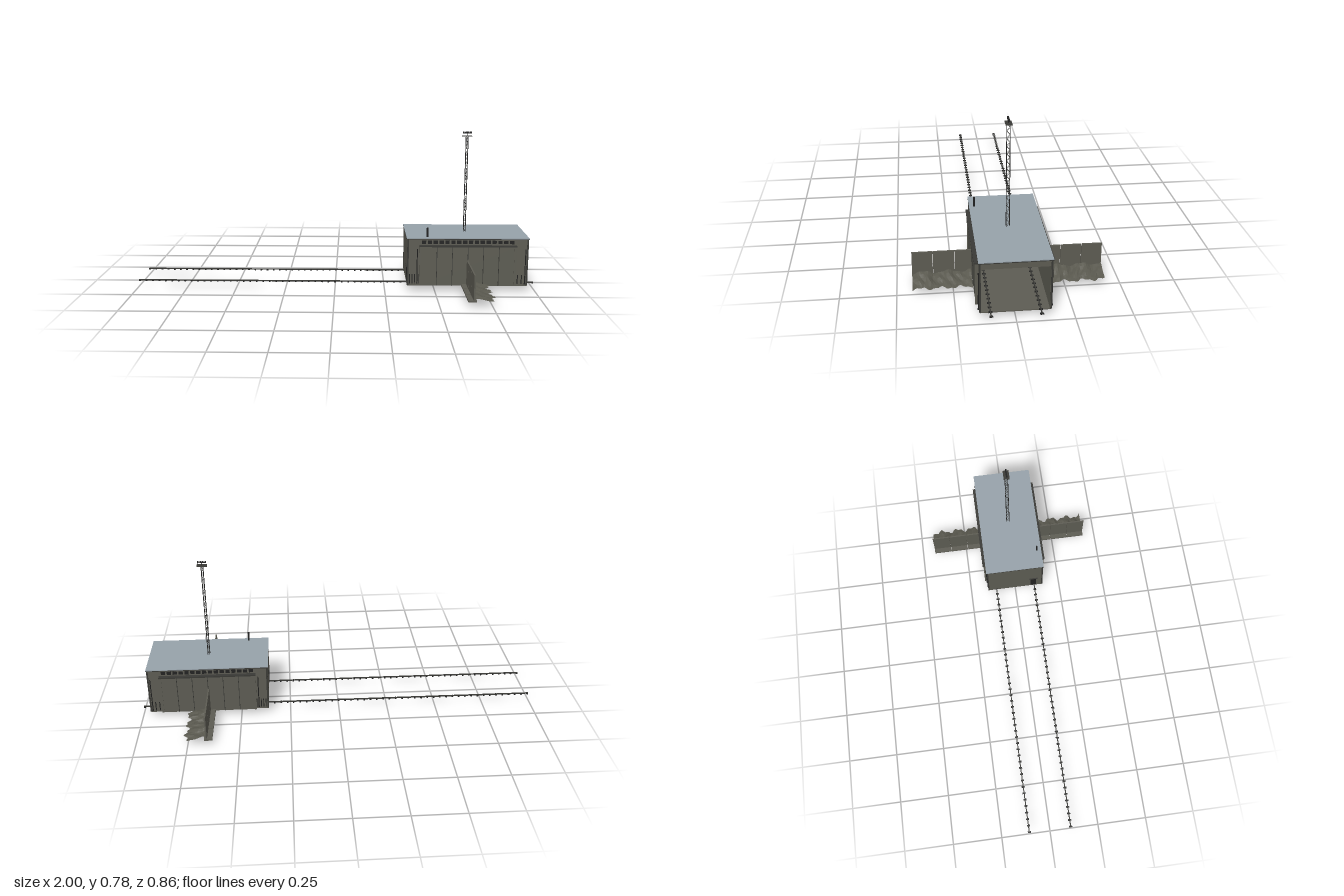
import * as THREE from 'three';

const mat = (name, color) => {
  const m = new THREE.MeshStandardMaterial({ color });
  m.name = name;
  return m;
};

export function createModel() {
  const concrete = mat('concrete', 0x5d5c53);
  const roofing = mat('roofing', 0x97a2aa);
  const darkMetal = mat('darkMetal', 0x3a3a36);
  const black = mat('black', 0x222222);
  const earth = mat('earth', 0x5a594f);
  earth.side = THREE.DoubleSide;

  const model = new THREE.Group();
  model.name = 'railDepot';
  const group = (name) => {
    const g = new THREE.Group();
    g.name = name;
    model.add(g);
    return g;
  };
  // Box given by its lower and upper limits on each axis
  const box = (parent, name, m, x0, x1, y0, y1, z0, z1) => {
    const mesh = new THREE.Mesh(new THREE.BoxGeometry(x1 - x0, y1 - y0, Math.abs(z1 - z0)), m);
    mesh.position.set((x0 + x1) / 2, (y0 + y1) / 2, (z0 + z1) / 2);
    mesh.name = name;
    parent.add(mesh);
    return mesh;
  };
  // Thin bar between two points
  const strut = (parent, name, m, a, b, r) => {
    const p = new THREE.Vector3(...a), q = new THREE.Vector3(...b);
    const mesh = new THREE.Mesh(new THREE.CylinderGeometry(r, r, p.distanceTo(q), 5), m);
    mesh.position.copy(p).lerp(q, 0.5);
    mesh.quaternion.setFromUnitVectors(new THREE.Vector3(0, 1, 0), q.sub(p).normalize());
    mesh.name = name;
    parent.add(mesh);
  };

  // Hall: floor, closed far end, open near end with a lintel
  const hall = group('hall');
  box(hall, 'floor', concrete, 0.362, 0.958, 0.026, 0.031, -0.15, 0.15);
  box(hall, 'endWall', concrete, 0.362, 0.368, 0.03, 0.266, -0.152, 0.152);
  box(hall, 'lintel', concrete, 0.945, 0.955, 0.235, 0.266, -0.15, 0.15);
  box(hall, 'roofSlab', darkMetal, 0.357, 0.962, 0.264, 0.268, -0.157, 0.157);
  box(hall, 'roofCover', roofing, 0.357, 0.962, 0.268, 0.272, -0.157, 0.157);
  for (let i = 0; i < 7; i++) {
    const x = 0.41 + i * 0.08;
    box(hall, 'roofBeam', darkMetal, x, x + 0.006, 0.25, 0.264, -0.146, 0.146);
  }

  // Long sides, mirrored front to back
  for (const s of [1, -1]) {
    const side = group(s > 0 ? 'frontSide' : 'backSide');
    box(side, 'sideWall', concrete, 0.362, 0.958, 0.03, 0.266, s * 0.146, s * 0.152);
    box(side, 'sidePanel', concrete, 0.425, 0.895, 0.03, 0.23, s * 0.152, s * 0.163);
    box(side, 'panelLip', darkMetal, 0.42, 0.9, 0.229, 0.236, s * 0.152, s * 0.171);
    for (const x of [0.421, 0.889])
      box(side, 'panelPost', concrete, x, x + 0.01, 0.03, 0.23, s * 0.152, s * 0.166);
    for (let i = 1; i < 6; i++) {
      const x = 0.43 + i * 0.0767;
      box(side, 'panelSeam', darkMetal, x - 0.0015, x + 0.0015, 0.03, 0.229, s * 0.163, s * 0.165);
    }
    for (let i = 0; i < 16; i++) {
      const x = 0.432 + i * 0.029;
      box(side, 'clerestoryWindow', black, x, x + 0.021, 0.242, 0.259, s * 0.152, s * 0.1535);
    }
    // Corner posts, downpipes and short wall stubs
    for (const x of [0.36, 0.952])
      box(side, 'cornerPost', darkMetal, x, x + 0.008, 0.03, 0.265, s * 0.147, s * 0.154);
    for (const x of [0.41, 0.946]) {
      strut(side, 'downpipe', black, [x, 0.042, s * 0.1555], [x, 0.215, s * 0.1555], 0.0025);
      box(side, 'pipeFoot', black, x - 0.004, x + 0.004, 0.038, 0.043, s * 0.15, s * 0.16);
    }
    for (const x of [0.374, 0.386, 0.398, 0.42, 0.91, 0.93])
      box(side, 'wallStub', black, x - 0.002, x + 0.002, 0.038, 0.085, s * 0.152, s * 0.156);
  }

  // Door and canopy in the far end, seen from inside and outside
  box(hall, 'door', black, 0.3595, 0.3705, 0.04, 0.11, 0.086, 0.118);
  box(hall, 'doorCanopy', darkMetal, 0.356, 0.374, 0.118, 0.121, 0.08, 0.125);

  // Chimney on the roof
  strut(hall, 'chimney', black, [0.46, 0.27, 0.133], [0.46, 0.32, 0.133], 0.0045);

  // Rails with clips and end stops
  const track = group('track');
  for (const z of [-0.107, 0.107]) {
    box(track, 'rail', darkMetal, -1, 1, 0.031, 0.037, z - 0.0025, z + 0.0025);
    for (let i = 0; i <= 60; i++) {
      const x = -0.995 + i * (1.99 / 60);
      box(track, 'railClip', black, x - 0.004, x + 0.004, 0.029, 0.034, z - 0.008, z + 0.008);
    }
    box(track, 'railStop', black, 0.372, 0.386, 0.034, 0.045, z - 0.006, z + 0.006);
  }

  // Inspection pit under the floor
  const pit = group('inspectionPit');
  box(pit, 'pitBase', darkMetal, 0.465, 0.855, 0, 0.006, -0.04, 0.04);
  for (const s of [1, -1]) {
    box(pit, 'pitSide', concrete, 0.465, 0.855, 0.004, 0.027, s * 0.034, s * 0.04);
    box(pit, 'pitInnerRail', darkMetal, 0.465, 0.855, 0.018, 0.026, s * 0.022, s * 0.03);
  }
  for (let i = 0; i < 14; i++) {
    const x = 0.465 + i * 0.0297;
    box(pit, 'pitRib', black, x, x + 0.004, 0.001, 0.027, -0.0408, -0.034);
    box(pit, 'pitRib', black, x, x + 0.004, 0.001, 0.027, 0.034, 0.0408);
    box(pit, 'pitRung', black, x, x + 0.004, -0.0, 0.008, -0.04, 0.04);
    box(pit, 'pitGrating', black, x, x + 0.004, 0.014, 0.018, -0.03, 0.03);
  }

  // Screen walls with earth banked against one face
  for (const s of [1, -1]) {
    const wing = group(s > 0 ? 'frontScreenWall' : 'backScreenWall');
    const edges = [0.163, 0.24, 0.336, 0.431];
    for (let i = 0; i < 3; i++) {
      const a = s * (edges[i] + 0.001), b = s * (edges[i + 1] - 0.001);
      box(wing, 'screenPanel', concrete, 0.655, 0.662, 0.03, 0.16, a, b);
      box(wing, 'screenFoot', concrete, 0.63, 0.67, 0.03, 0.038, a, b);
    }
    const cols = 26, rows = 5;
    const bank = new THREE.PlaneGeometry(1, 1, cols, rows);
    const p = bank.attributes.position;
    for (let i = 0; i < p.count; i++) {
      const u = p.getX(i) + 0.5, t = 0.5 - p.getY(i);
      const wave = Math.sin(u * 19 + s) * 0.6 + Math.sin(u * 43 + 2 * s) * 0.4;
      const reach = 0.098 + 0.016 * wave;
      const crest = 0.025 + 0.007 * Math.sin(u * 15 + s * 2) + 0.003 * Math.sin(u * 37);
      const bump = 0.003 * Math.sin(u * 31 + t * 9) * t * (1 - t) * 4;
      p.setXYZ(i, 0.66 + t * reach, 0.032 + crest * (1 - t) + bump, s * (0.165 + u * 0.265));
    }
    const flat = bank.toNonIndexed();
    flat.computeVertexNormals();
    const mound = new THREE.Mesh(flat, earth);
    mound.name = 'earthBank';
    wing.add(mound);
  }

  // Lattice mast with lamp platform
  const mast = group('mast');
  const mx = 0.66, hx = 0.005, hz = 0.0075, y0 = 0.27, y1 = 0.76, bays = 28;
  for (const sx of [1, -1])
    for (const sz of [1, -1])
      strut(mast, 'mastLeg', black, [mx + sx * hx, y0, sz * hz], [mx + sx * hx, y1, sz * hz], 0.0012);
  const step = (y1 - y0) / bays;
  for (let i = 0; i < bays; i++) {
    const a = y0 + i * step, b = a + step, d = i % 2 ? 1 : -1;
    for (const s of [1, -1]) {
      strut(mast, 'mastBrace', darkMetal, [mx + s * hx, a, -d * hz], [mx + s * hx, b, d * hz], 0.0008);
      strut(mast, 'mastBrace', darkMetal, [mx - d * hx, a, s * hz], [mx + d * hx, b, s * hz], 0.0008);
    }
  }
  box(mast, 'lampPlatform', darkMetal, 0.635, 0.685, 0.759, 0.762, -0.015, 0.015);
  strut(mast, 'lampPole', black, [mx, 0.76, 0], [mx, 0.782, 0], 0.002);
  box(mast, 'lampBar', black, 0.638, 0.682, 0.774, 0.777, -0.0015, 0.0015);
  for (let i = 0; i < 4; i++) {
    const x = 0.642 + i * 0.012;
    box(mast, 'lamp', black, x - 0.004, x + 0.004, 0.774, 0.783, -0.003, 0.004);
  }
  return model;
}
